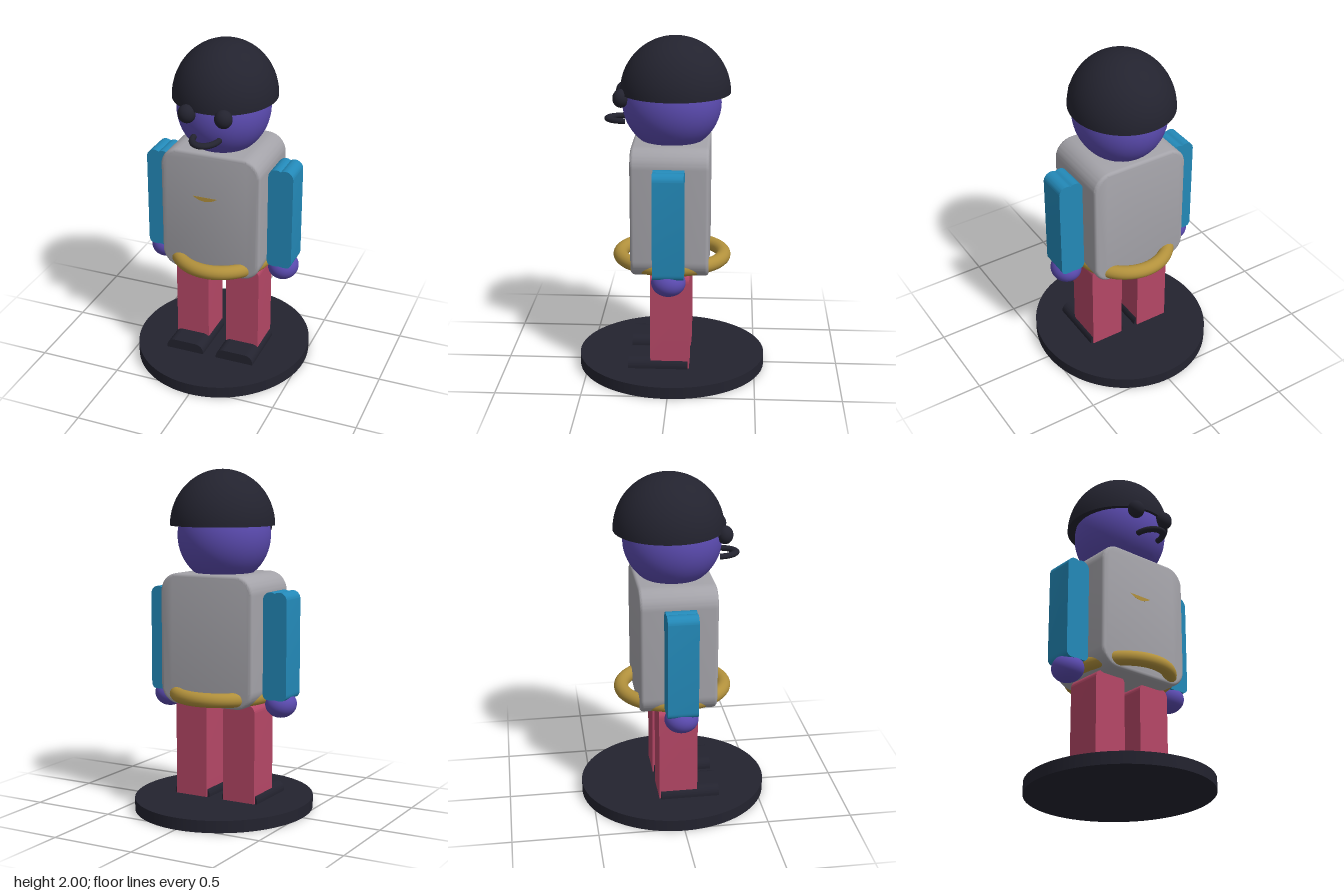
import * as THREE from 'three';
import { toCreasedNormals } from 'three/addons/utils/BufferGeometryUtils.js';

const paint = (name, color) => {
  const m = new THREE.MeshStandardMaterial({ color });
  m.name = name;
  return m;
};

// Outline with separate top and bottom corner radii
function roundedOutline(x0, x1, y0, y1, rTop, rBottom) {
  const s = new THREE.Shape();
  s.moveTo(x0 + rBottom, y0);
  s.lineTo(x1 - rBottom, y0);
  if (rBottom) s.absarc(x1 - rBottom, y0 + rBottom, rBottom, -Math.PI / 2, 0);
  s.lineTo(x1, y1 - rTop);
  s.absarc(x1 - rTop, y1 - rTop, rTop, 0, Math.PI / 2);
  s.lineTo(x0 + rTop, y1);
  s.absarc(x0 + rTop, y1 - rTop, rTop, Math.PI / 2, Math.PI);
  s.lineTo(x0, y0 + rBottom);
  if (rBottom) s.absarc(x0 + rBottom, y0 + rBottom, rBottom, Math.PI, Math.PI * 1.5);
  return s;
}

// Extrude an outline from z0 to z1, optionally with eased edges
function slab(shape, z0, z1, bevel = 0) {
  const g = new THREE.ExtrudeGeometry(shape, {
    depth: z1 - z0 - 2 * bevel, curveSegments: 10, bevelEnabled: bevel > 0,
    bevelSize: bevel, bevelOffset: -bevel, bevelThickness: bevel, bevelSegments: 4,
  });
  g.translate(0, 0, z0 + bevel);
  return toCreasedNormals(g, 0.6);
}

export function createModel() {
  const dark = paint('charcoal', 0x23232f);
  const skin = paint('violet', 0x5b4bb0);
  const grey = paint('grey', 0xa4a3a9);
  const blue = paint('blue', 0x2389b8);
  const pink = paint('raspberry', 0xb54766);
  const gold = paint('gold', 0xb2913c);

  const model = new THREE.Group();
  model.name = 'figure';
  const add = (name, geometry, material, x = 0, y = 0, z = 0) => {
    const mesh = new THREE.Mesh(geometry, material);
    mesh.name = name;
    mesh.position.set(x, y, z);
    model.add(mesh);
    return mesh;
  };
  const ball = (rx, ry, rz) => new THREE.SphereGeometry(1, 40, 28).scale(rx, ry, rz);

  // Oval base
  add('base', new THREE.CylinderGeometry(1, 1, 0.07, 96).scale(0.523, 1, 0.558), dark, 0, 0.035, 0);

  // Torso, chest mark and belt
  add('torso', slab(roundedOutline(-0.302, 0.302, 0.64, 1.405, 0.11, 0.11), -0.224, 0.224, 0.02), grey);
  const mark = new THREE.Shape();
  mark.moveTo(-0.075, 0.012);
  mark.quadraticCurveTo(0, -0.04, 0.075, 0.012);
  add('chestMark', slab(mark, 0, 0.002), gold, -0.03, 1.12, 0.223);
  add('belt', new THREE.TorusGeometry(0.3, 0.042, 20, 80).rotateX(Math.PI / 2).scale(0.92, 1, 1.02),
    gold, 0, 0.698, 0);

  // Head and open-bottomed cap with a closed rim
  add('head', ball(0.267, 0.28, 0.285), skin, 0, 1.62, 0);
  const dome = Array.from({ length: 25 }, (_, i) => {
    const a = (i / 24) * Math.PI / 2;
    return new THREE.Vector2(Math.max(Math.cos(a), 0), Math.sin(a));
  });
  add('helmet', new THREE.LatheGeometry(dome, 64).scale(0.3, 0.322, 0.317), dark, 0, 1.678, -0.02);
  add('helmetRim', new THREE.CircleGeometry(1, 64).rotateX(Math.PI / 2).scale(0.3, 1, 0.317),
    dark, 0, 1.678, -0.02);

  // Mouth: a half ring standing out from the face
  add('mouth', new THREE.TorusGeometry(0.075, 0.017, 12, 32, Math.PI).rotateX(Math.PI / 2).scale(1, 1, 1.4),
    dark, 0, 1.52, 0.262);

  // Arm outline with a twin-lobed shoulder
  const arm = new THREE.Shape();
  arm.moveTo(-0.04, 0.69);
  arm.lineTo(0.04, 0.69);
  arm.quadraticCurveTo(0.075, 0.69, 0.075, 0.73);
  arm.lineTo(0.075, 1.263);
  arm.absarc(0.027, 1.263, 0.048, 0, 2.17);
  arm.absarc(-0.027, 1.263, 0.048, Math.PI - 2.17, Math.PI);
  arm.lineTo(-0.075, 0.73);
  arm.quadraticCurveTo(-0.075, 0.69, -0.04, 0.69);

  // Mirrored parts
  for (const [label, s] of [['left', 1], ['right', -1]]) {
    add(label + 'Eye', ball(0.051, 0.053, 0.047), dark, s * 0.108, 1.66, 0.284);
    add(label + 'Arm', slab(arm, -0.088, 0.088), blue, s * 0.376, 0, 0);
    add(label + 'Hand', ball(0.09, 0.08, 0.098), skin, s * 0.376, 0.658, 0);
    add(label + 'Leg', slab(roundedOutline(-0.103, 0.103, 0.07, 0.652, 0.045, 0), -0.114, 0.114),
      pink, s * 0.16, 0, 0);
    add(label + 'Shoe', slab(roundedOutline(-0.118, 0.118, 0.065, 0.13, 0.05, 0), -0.105, 0.245),
      dark, s * 0.16, 0, 0);
  }
  return model;
}
